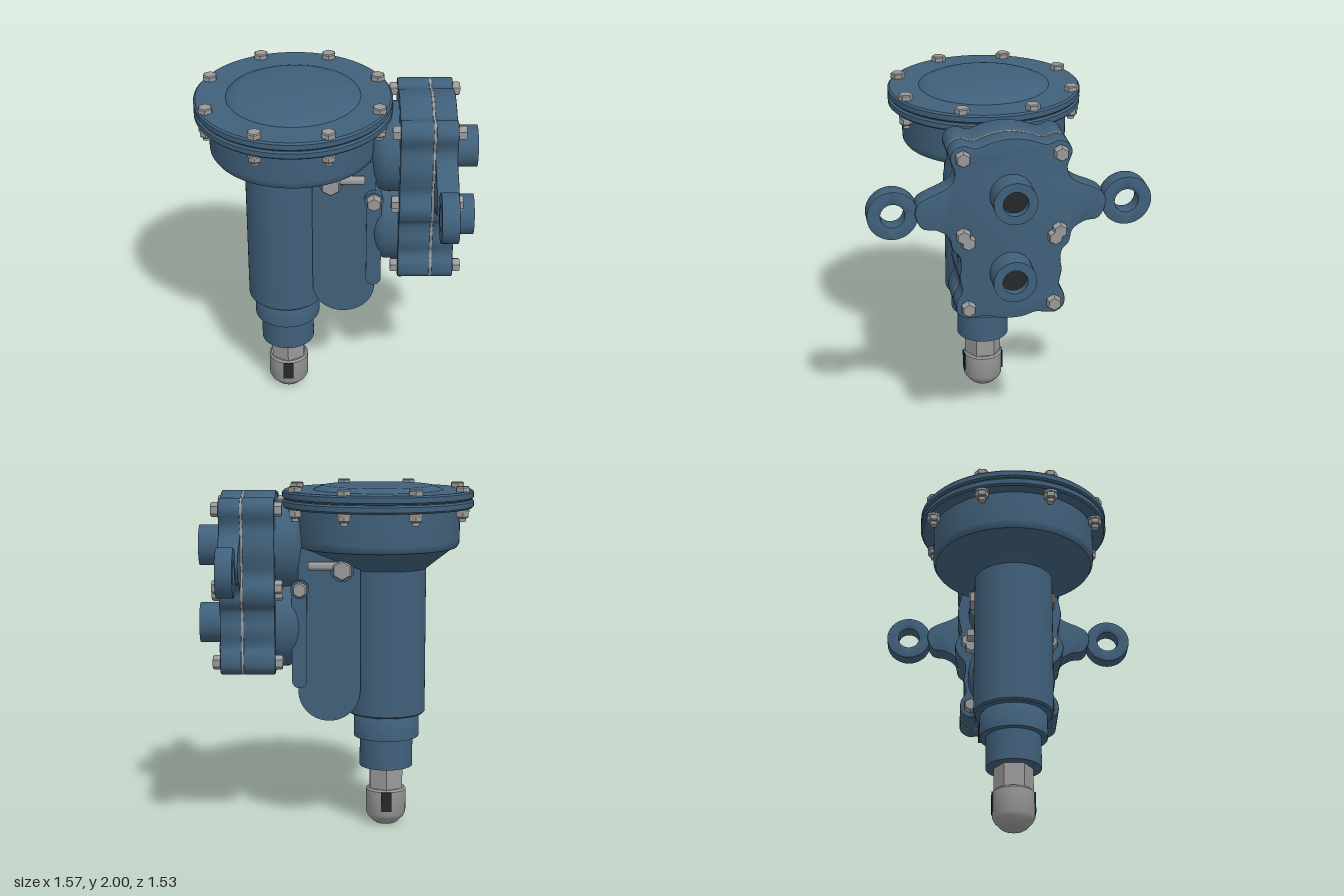
import * as THREE from 'three';
import { toCreasedNormals } from 'three/addons/utils/BufferGeometryUtils.js';

const paint = new THREE.MeshStandardMaterial({ color: 0x40607a });
const steel = new THREE.MeshStandardMaterial({ color: 0x999999 });
const dark = new THREE.MeshStandardMaterial({ color: 0x24292d });

const FLANGE_X = -0.24, BODY_X = -0.295;
const UPPER = 1.65, LOWER = 1.2;

export function createModel() {
  const model = new THREE.Group();

  function add(name, geo, mat = paint, x = 0, y = 0, z = 0) {
    const mesh = new THREE.Mesh(toCreasedNormals(geo, 0.6), mat);
    mesh.name = name;
    mesh.position.set(x, y, z);
    model.add(mesh);
    return mesh;
  }

  // Turned part; profile is [radius, height] from bottom to top
  const turned = (profile, n = 64) =>
    new THREE.LatheGeometry(profile.map(([r, y]) => new THREE.Vector2(r, y)), n);
  const turnedX = (profile, n = 48) => turned(profile, n).rotateZ(-Math.PI / 2);

  // Hexagonal head with a small chamfer on top
  const hex = (r, h) => turned([[0, 0], [r, 0], [r, h * 0.8], [r * 0.85, h], [0, h]], 6);

  // Shape in (z, y) extruded along +x
  function extrudeX(shape, depth, bevel = 0.008) {
    return new THREE.ExtrudeGeometry(shape, {
      depth: depth - 2 * bevel, curveSegments: 32, bevelEnabled: true,
      bevelThickness: bevel, bevelSize: bevel, bevelOffset: -bevel, bevelSegments: 2,
    }).translate(0, 0, bevel).rotateY(Math.PI / 2);
  }

  // Slab with a half-round lower end, centred on z
  function roundEndSlab(x0, x1, y0, y1, halfZ) {
    const r = (x1 - x0) / 2;
    const s = new THREE.Shape();
    s.moveTo(x1, y1);
    s.lineTo(x0, y1);
    s.lineTo(x0, y0 + r);
    s.absarc(x0 + r, y0 + r, r, Math.PI, 2 * Math.PI, false);
    s.closePath();
    return new THREE.ExtrudeGeometry(s, { depth: 2 * halfZ, bevelEnabled: false, curveSegments: 32 })
      .translate(0, 0, -halfZ);
  }

  // Round cover: lower and upper flange discs with a shallow dome
  const disc = (y0, y1) => turned([[0, y0], [0.538, y0], [0.548, y0 + 0.01],
    [0.548, y1 - 0.01], [0.538, y1], [0, y1]], 96);
  add('lowerFlange', disc(1.87, 1.918), paint, FLANGE_X);
  add('upperFlange', disc(1.921, 1.97), paint, FLANGE_X);
  add('coverDome', turned([[0.375, 1.965], [0.37, 1.972], [0.33, 1.99], [0.31, 1.995], [0, 1.995]], 96), paint, FLANGE_X);

  // Bell housing, narrowing off-centre into the body
  const bell = turned([[0.225, 1.5], [0.225, 1.52], [0.425, 1.635], [0.455, 1.645],
    [0.468, 1.665], [0.47, 1.69], [0.47, 1.875]], 96);
  const p = bell.attributes.position;
  for (let i = 0; i < p.count; i++) {
    const t = THREE.MathUtils.clamp((p.getY(i) - 1.52) / 0.115, 0, 1);
    p.setX(i, p.getX(i) + THREE.MathUtils.lerp(BODY_X, FLANGE_X, t));
  }
  add('bellHousing', bell);

  // Body tube and stepped collars
  add('bodyTube', turned([[0, 0.67], [0.215, 0.67], [0.225, 0.68], [0.225, 1.55]]), paint, BODY_X);
  add('upperCollar', turned([[0, 0.53], [0.19, 0.53], [0.19, 0.655], [0.18, 0.67]]), paint, BODY_X);
  add('lowerCollar', turned([[0, 0.35], [0.155, 0.35], [0.155, 0.535]]), paint, BODY_X);

  // Spindle: hexagonal neck and rounded tip with two slots
  add('spindleNeck', turned([[0.11, 0.19], [0.11, 0.36]], 6), steel, BODY_X);
  add('spindleTip', turned([[0, 0], [0.06, 0], [0.075, 0.01], [0.105, 0.042], [0.117, 0.065],
    [0.117, 0.205], [0.107, 0.217], [0, 0.217]], 48), steel, BODY_X);
  for (const s of [-1, 1])
    add('tipSlot', new THREE.BoxGeometry(0.06, 0.115, 0.03), dark, BODY_X, 0.148, s * 0.106);

  // Side casing and narrow rib
  add('sideCasing', roundEndSlab(-0.14, 0.215, 0.655, 1.65, 0.19));
  add('casingRib', roundEndSlab(0.165, 0.25, 0.85, 1.42, 0.21));

  // Fittings on both faces of the casing
  for (const s of [-1, 1]) {
    for (const [x, y, r, z] of [[-0.035, 1.53, 0.06, 0.19], [0.205, 1.42, 0.045, 0.2]]) {
      const turn = g => g.rotateX(s * Math.PI / 2);
      add('fittingSeat', turn(turned([[0, -0.02], [r + 0.008, -0.02], [r + 0.008, 0.02], [0, 0.02]], 32)), paint, x, y, s * z);
      add('fittingHead', turn(hex(r, 0.045)), steel, x, y, s * (z + 0.02));
    }
    add('fittingPin', new THREE.CylinderGeometry(0.024, 0.024, 0.18, 24).rotateZ(Math.PI / 2), steel, 0.065, 1.553, s * 0.215);
  }

  // Half outlines of the pump plates as [z, y], top to bottom
  const top = [[0, 1.965], [0.1, 1.95], [0.19, 1.922], [0.25, 1.94], [0.3, 1.925], [0.325, 1.875], [0.3, 1.785]];
  const ear = [[0.32, 1.73], [0.37, 1.695], [0.44, 1.665], [0.495, 1.63], [0.513, 1.57], [0.475, 1.485], [0.4, 1.47]];
  const plain = [[0.312, 1.72], [0.322, 1.65], [0.312, 1.58], [0.3, 1.51]];
  const bottom = [[0.335, 1.425], [0.315, 1.35], [0.28, 1.31], [0.272, 1.25], [0.28, 1.19], [0.268, 1.1],
    [0.295, 1.045], [0.295, 0.975], [0.25, 0.938], [0.2, 0.938], [0.14, 0.946], [0.07, 0.925]];
  function plateShape(side) {
    const half = [...top, ...side, ...bottom];
    const loop = [...half, [0, 0.92], ...half.slice(1).reverse().map(([z, y]) => [-z, y])];
    const curve = new THREE.CatmullRomCurve3(loop.map(([z, y]) => new THREE.Vector3(z, y, 0)), true);
    return new THREE.Shape(curve.getPoints(200).slice(0, -1).map(v => new THREE.Vector2(v.x, v.y)));
  }
  add('innerPlate', extrudeX(plateShape(plain), 0.18), paint, 0.342);
  add('gasket', extrudeX(plateShape(plain), 0.014, 0.002), steel, 0.52);
  add('outerPlate', extrudeX(plateShape(ear), 0.122), paint, 0.532);

  // Rounded bosses behind the plates, and open ports in front
  for (const y of [UPPER, LOWER]) {
    add('rearBoss', turnedX([[0, 0.19], [0.15, 0.19], [0.18, 0.195], [0.21, 0.21], [0.235, 0.235],
      [0.252, 0.27], [0.255, 0.35]], 64), paint, 0, y);
    add('port', turnedX([[0.117, 0.64], [0.117, 0.785], [0.068, 0.785], [0.068, 0.735]]), paint, 0, y);
    add('portBore', new THREE.CircleGeometry(0.068, 48).rotateY(Math.PI / 2), dark, 0.74, y);
  }

  // Lifting rings
  const ring = new THREE.Shape().absarc(0, 0, 0.136, 0, 2 * Math.PI, false);
  ring.holes.push(new THREE.Path().absarc(0, 0, 0.065, 0, 2 * Math.PI, true));
  for (const s of [-1, 1])
    add('liftingRing', extrudeX(ring, 0.095, 0.004), paint, 0.545, 1.566, s * 0.63);

  // Plate bolts with rear nuts
  for (const [z, y] of [[0.26, 1.875], [0.26, 1.437], [0.235, 1.4], [0.235, 1.005]]) {
    for (const s of [-1, 1]) {
      const side = h => hex(0.042, h).rotateY(Math.PI / 2).rotateZ(-Math.PI / 2);
      add('plateBolt', side(0.045), steel, 0.653, y, s * z);
      add('plateNut', side(0.045).rotateY(Math.PI), steel, 0.345, y, s * z);
    }
  }

  // Flange bolts with washers and nuts below
  for (let i = 0; i < 8; i++) {
    const a = (i + 0.5) * Math.PI / 4;
    const x = FLANGE_X + 0.508 * Math.cos(a), z = 0.508 * Math.sin(a);
    add('flangeBolt', hex(0.042, 0.032), steel, x, 1.968, z);
    add('flangeWasher', new THREE.CylinderGeometry(0.04, 0.04, 0.012, 24), steel, x, 1.864, z);
    add('flangeNut', hex(0.038, 0.035).rotateX(Math.PI), steel, x, 1.858, z);
    add('flangeStud', new THREE.CylinderGeometry(0.02, 0.02, 0.03, 16), steel, x, 1.818, z);
  }
  return model;
}
